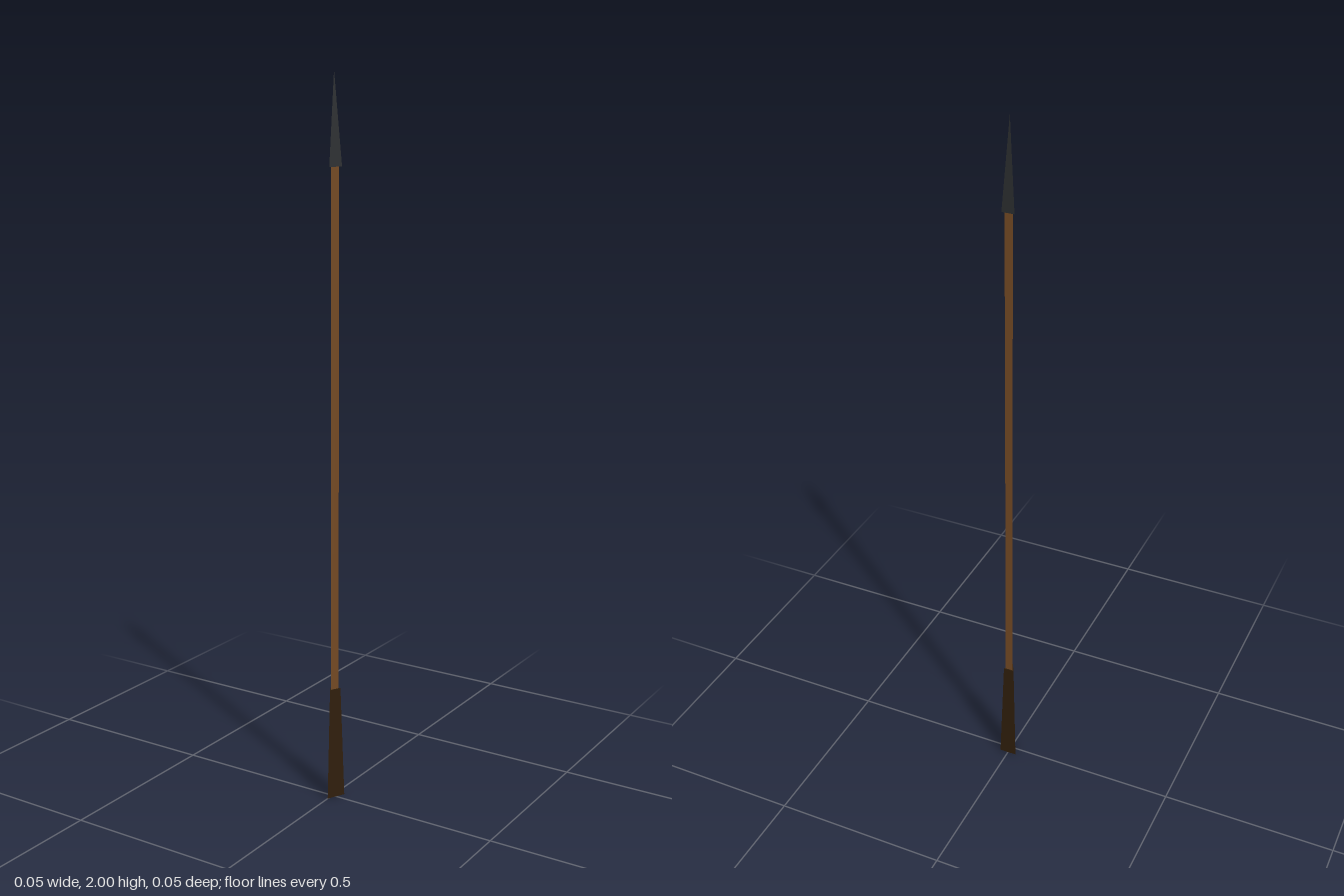
import * as THREE from 'three';

const AXIS_Z = -0.008; // all parts share one axis, set back so the flared butt is centred

// Tapered three-sided bar with one edge facing +z; halfBottom/halfTop are half widths
function triangularBar(halfBottom, halfTop, y0, y1) {
  const toRadius = 1 / Math.cos(Math.PI / 6);
  const geo = new THREE.CylinderGeometry(halfTop * toRadius, halfBottom * toRadius, y1 - y0, 3)
    .toNonIndexed()
    .scale(1, 1, 1.12) // slightly deeper than equilateral
    .translate(0, (y0 + y1) / 2, AXIS_Z);
  geo.computeVertexNormals(); // separate corners give flat faces
  return geo;
}

export function createModel() {
  const model = new THREE.Group();
  model.name = 'spear';

  const wood = new THREE.MeshStandardMaterial({ name: 'brown wood', color: 0x734923 });
  const grip = new THREE.MeshStandardMaterial({ name: 'dark brown grip', color: 0x2f1e0c });
  const metal = new THREE.MeshStandardMaterial({ name: 'dark metal', color: 0x2a2c2e });

  const add = (name, material, ...dims) => {
    const mesh = new THREE.Mesh(triangularBar(...dims), material);
    mesh.name = name;
    model.add(mesh);
  };

  // Long thin shaft, flared butt grip and pointed head
  add('shaft', wood, 0.011, 0.011, 0.3, 1.78);
  add('buttGrip', grip, 0.025, 0.0155, 0, 0.322);
  add('spearHead', metal, 0.0175, 0, 1.757, 2);

  return model;
}
